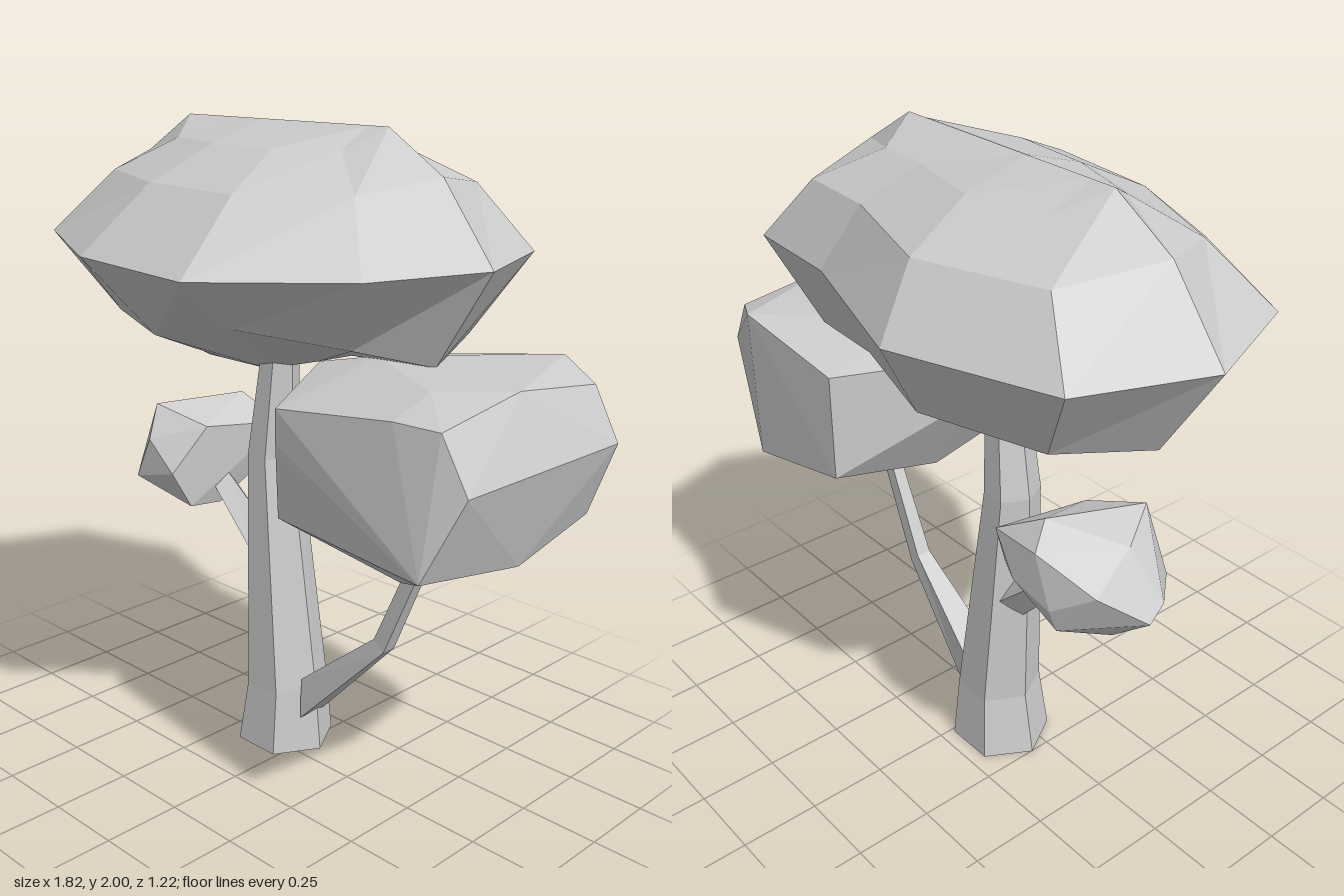
import * as THREE from 'three';
import { ConvexGeometry } from 'three/addons/geometries/ConvexGeometry.js';

const MID_Z = -0.07;
const material = new THREE.MeshStandardMaterial({
  color: 0xcccccc, flatShading: true, side: THREE.DoubleSide,
});

function addMesh(parent, name, geometry) {
  const mesh = new THREE.Mesh(geometry, material);
  mesh.name = name;
  parent.add(mesh);
}

// Skins a stack of equal-sized rings of [x, y, z], open at both ends.
function loft(rings) {
  const n = rings[0].length;
  const pos = [];
  const tri = (...pts) => pts.forEach((p) => pos.push(...p));
  for (let j = 0; j < rings.length - 1; j++) {
    for (let i = 0; i < n; i++) {
      const k = (i + 1) % n;
      const [a, b, c, d] = [rings[j][i], rings[j][k], rings[j + 1][k], rings[j + 1][i]];
      tri(a, d, b);
      tri(b, d, c);
    }
  }
  const g = new THREE.BufferGeometry();
  g.setAttribute('position', new THREE.Float32BufferAttribute(pos, 3));
  g.computeVertexNormals();
  return g;
}

// Ring across a limb; tilt is the limb's lean towards +x, in radians.
function limbRing(x, y, z, rAcross, rz, tilt, sides, turn) {
  return Array.from({ length: sides }, (_, i) => {
    const a = turn + (i / sides) * Math.PI * 2;
    const u = Math.cos(a) * rAcross;
    return [x + u * Math.cos(tilt), y - u * Math.sin(tilt), z + Math.sin(a) * rz];
  });
}

const limb = (sections, sides, turn = 0) =>
  loft(sections.map((s) => limbRing(...s, sides, turn)));

const hull = (points) => new ConvexGeometry(points.map((p) => new THREE.Vector3(...p)));

// Wide crown: one outline, scaled at each level, closing to a ridge above and below.
function crownGeometry() {
  const outline = [
    [-0.91, -0.07], [-0.76, -0.44], [-0.28, -0.61], [0.22, -0.45], [0.55, -0.43],
    [0.68, -0.07], [0.55, 0.30], [0.22, 0.61], [-0.28, 0.55], [-0.76, 0.30],
  ];
  const level = (sx, back, front, height) => outline.map(([x, z], i) => {
    const px = -0.1 + (x + 0.1) * sx;
    const dz = z - MID_Z;
    return [px, height(px, i), MID_Z + dz * (dz < 0 ? back : front)];
  });
  const isEnd = (i) => i % 5 === 0;
  const underside = (x) => 1.24 + 0.12 * THREE.MathUtils.clamp((x + 0.16) / 0.4, 0, 1);
  // Lower edge, lifted at the front right
  const lowerEdge = [1.36, 1.4, 1.41, 1.4, 1.4, 1.36, 1.43, 1.48, 1.4, 1.4];
  return loft([
    level(0.43, 0, 0, underside),
    level(0.765, 0.75, 0.64, (x, i) => lowerEdge[i]),
    level(1, 1, 1, () => 1.65),
    level(0.77, 0.76, 0.64, (x, i) => (isEnd(i) ? 1.88 : 1.84)),
    level(0.52, 0.37, 0.31, (x, i) => (isEnd(i) ? 2 : 1.94)),
    level(0.51, 0, 0, () => 2),
  ]);
}

export function createModel() {
  const tree = new THREE.Group();
  tree.name = 'tree';

  // Six-sided trunk
  addMesh(tree, 'trunk', limb([
    [-0.092, 0, -0.065, 0.16, 0.158, 0],
    [-0.083, 0.21, -0.065, 0.13, 0.135, 0],
    [-0.149, 0.97, -0.07, 0.078, 0.09, 0],
    [-0.12, 1.3, -0.07, 0.055, 0.065, 0],
  ], 6));

  // Branches
  addMesh(tree, 'leftBranch', limb([
    [-0.17, 0.60, -0.08, 0.07, 0.065, -0.85],
    [-0.40, 0.81, -0.08, 0.045, 0.045, -0.85],
    [-0.46, 0.87, -0.08, 0.035, 0.035, -0.85],
  ], 4));
  addMesh(tree, 'rightBranch', limb([
    [0.033, 0.19, -0.065, 0.097, 0.078, 1.57],
    [0.335, 0.47, -0.065, 0.037, 0.035, 0.75],
    [0.515, 0.88, -0.065, 0.03, 0.026, 0.42],
    [0.55, 0.95, -0.065, 0.026, 0.026, 0.42],
  ], 4, Math.PI / 4));
  addMesh(tree, 'twig', limb([
    [0.46, 0.74, -0.06, 0.016, 0.016, 1.3],
    [0.575, 0.77, -0.045, 0.014, 0.014, 1],
    [0.70, 0.90, -0.04, 0.012, 0.012, 0.8],
  ], 4));

  // Foliage
  addMesh(tree, 'crown', crownGeometry());
  addMesh(tree, 'rightFoliage', hull([
    [0.91, 1.17, -0.36], [0.91, 1.17, 0.3], [0.82, 1.32, 0.3], [0.82, 1.32, -0.37],
    [0.82, 1.365, -0.02], [0.67, 1.32, 0.31], [0.67, 1.17, 0.33], [0.25, 1.17, 0.31],
    [0.25, 1.27, 0.31], [0.3, 1.365, -0.05], [0.66, 1.365, 0.15], [0.66, 1.365, -0.45],
    [0.25, 1.30, -0.43], [0.25, 0.96, -0.43], [0.67, 0.87, -0.44], [0.82, 0.94, -0.37],
    [0.25, 0.95, 0.3], [0.82, 0.94, 0.37], [0.67, 0.87, 0.26], [0.82, 0.87, -0.05],
    [0.25, 0.87, -0.05], [0.07, 1.17, -0.05], [0.07, 1.31, -0.05],
  ]));
  addMesh(tree, 'leftFoliage', hull([
    [-0.65, 1.03, -0.08], [-0.57, 1.075, 0.06], [-0.46, 1.085, -0.22], [-0.31, 1.0, -0.27],
    [-0.34, 0.9, -0.26], [-0.41, 0.74, -0.07], [-0.6, 0.70, -0.08], [-0.76, 0.84, -0.1],
    [-0.75, 0.88, -0.04], [-0.61, 0.83, 0.12], [-0.44, 0.87, 0.11], [-0.54, 0.97, 0.12],
    [-0.39, 1.02, 0.0], [-0.42, 0.75, 0.05], [-0.55, 0.85, -0.28], [-0.42, 0.9, -0.3],
    [-0.55, 0.77, -0.25], [-0.5, 1.02, -0.29], [-0.67, 0.93, -0.22],
  ]));
  return tree;
}
